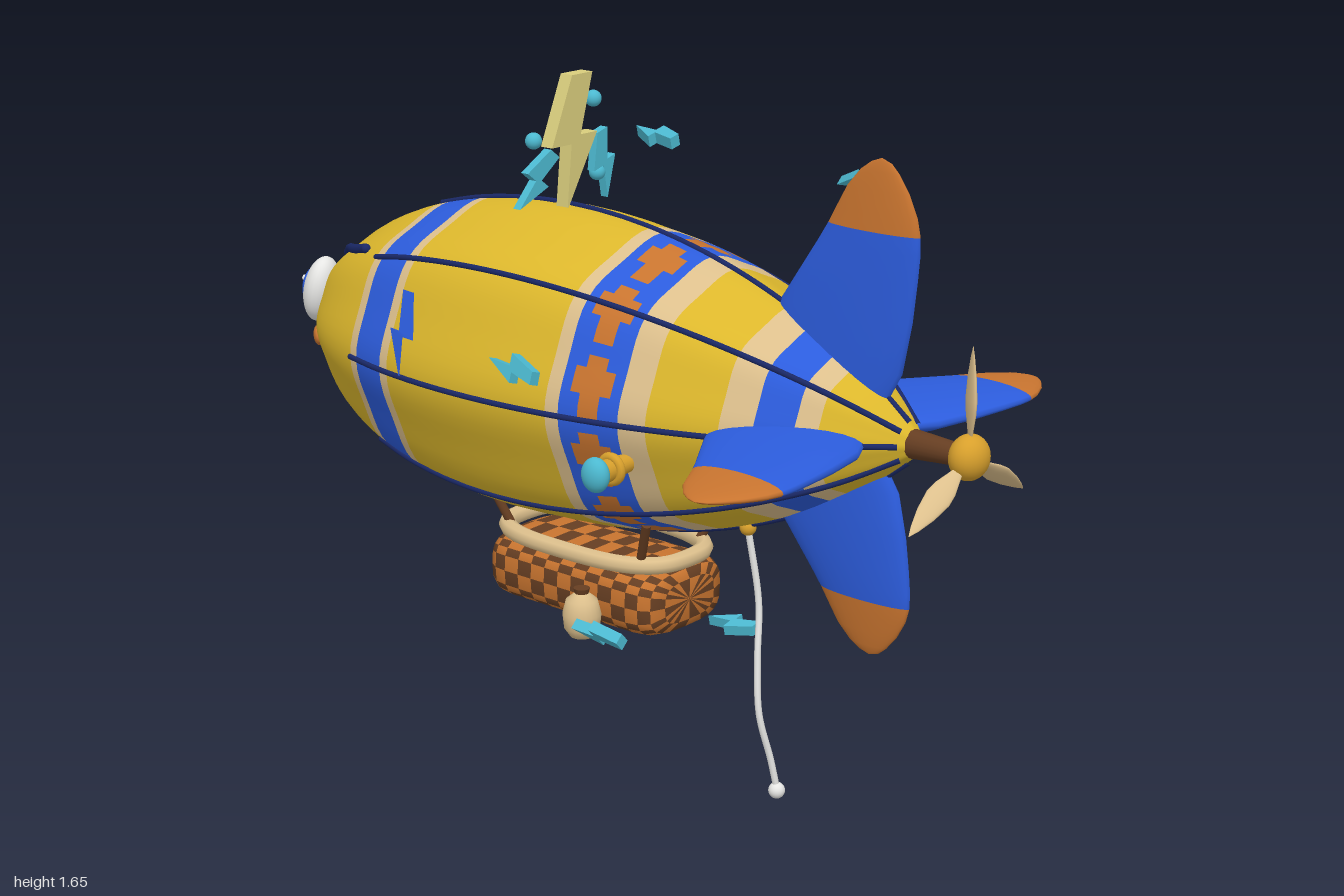
import * as THREE from 'three';

const mat = (name, hex, side = THREE.FrontSide) => {
  const m = new THREE.MeshStandardMaterial({ color: hex, side });
  m.name = name;
  return m;
};
const M = {
  yellow: mat('envelope yellow', 0xdcb72c), blue: mat('royal blue', 0x2c5cdc),
  tan: mat('tan', 0xdcbf8c), orange: mat('burnt orange', 0xc8742f),
  brown: mat('brown', 0x663e22), navy: mat('navy', 0x1a2866),
  white: mat('white', 0xe6e6e4), gold: mat('gold', 0xd8a02c),
  teal: mat('teal', 0x4cb9d0), pale: mat('pale yellow', 0xd8cc7c),
};
const V = (x, y, z) => new THREE.Vector3(x, y, z);
const YC = 0.96; // height of the envelope axis

function add(parent, name, geo, material, x = 0, y = 0, z = 0) {
  const m = new THREE.Mesh(geo, material);
  m.name = name;
  m.position.set(x, y, z);
  parent.add(m);
  return m;
}
const ball = (parent, name, material, p, sx, sy = sx, sz = sx) => {
  const m = add(parent, name, new THREE.SphereGeometry(1, 24, 16), material, p.x, p.y, p.z);
  m.scale.set(sx, sy, sz);
  return m;
};
const tube = (parent, name, material, pts, r, closed = false) => add(parent, name,
  new THREE.TubeGeometry(new THREE.CatmullRomCurve3(pts, closed), pts.length * 6, r, 8, closed), material);
const rod = (parent, name, material, a, b, ra, rb) => {
  const d = b.clone().sub(a);
  const m = add(parent, name, new THREE.CylinderGeometry(rb, ra, d.length(), 20), material);
  m.position.copy(a).addScaledVector(d, 0.5);
  m.quaternion.setFromUnitVectors(V(0, 1, 0), d.normalize());
  return m;
};

// Closed cross-sections joined in sequence, one material per cell
function loft(parent, name, rows, n, point, colour) {
  const pos = [], mats = [], lists = [], index = [];
  for (let i = 0; i < rows; i++) for (let j = 0; j < n; j++) pos.push(...point(i, (j / n) * Math.PI * 2));
  for (let i = 0; i < rows - 1; i++) for (let j = 0; j < n; j++) {
    const c = colour(i, j);
    if (!mats.includes(c)) { mats.push(c); lists.push([]); }
    const a = i * n + j, b = a + n, k = i * n + ((j + 1) % n);
    lists[mats.indexOf(c)].push(a, b, k, b, k + n, k);
  }
  const g = new THREE.BufferGeometry();
  g.setAttribute('position', new THREE.Float32BufferAttribute(pos, 3));
  lists.forEach((l, k) => { g.addGroup(index.length, l.length, k); index.push(...l); });
  g.setIndex(index);
  g.computeVertexNormals();
  return add(parent, name, g, mats);
}

// Envelope surface: elliptical nose, tapering tail, eight soft lobes
const lobe = (t) => 1 + 0.02 * (Math.cos(8 * t) - 1);
const radius = (z) => z < -0.2
  ? 0.385 * Math.sqrt(Math.max(0, 1 - ((z + 0.2) / 0.8) ** 2))
  : 0.385 * Math.max(0, 1 - ((z + 0.2) / 1.04) ** 2) ** 0.85;
const skin = (z, t, lift = 0) => {
  const r = radius(z) * lobe(t) + lift;
  return V(r * Math.sin(t), YC + r * Math.cos(t), z);
};
const noseZ = (x, y) => {
  const r = Math.hypot(x, y - YC) / lobe(Math.atan2(x, y - YC));
  return -0.2 - 0.8 * Math.sqrt(Math.max(0, 1 - (r / 0.385) ** 2));
};

const BOLT = [[-0.02, 0.5], [0.2, 0.5], [0.07, 0.05], [0.25, 0.05], [-0.08, -0.5], [-0.03, -0.01], [-0.24, -0.01]];
const boltShape = (h) => new THREE.Shape(BOLT.map(([x, y]) => new THREE.Vector2(x * h, y * h)));
const boltSolid = (h, depth) =>
  new THREE.ExtrudeGeometry(boltShape(h), { depth, bevelEnabled: false }).translate(0, 0, -depth / 2);

function envelope(g) {
  const zs = [];
  for (let i = 0; i <= 12; i++) zs.push(-0.2 - 0.8 * Math.cos((i / 12) * Math.acos(0.43 / 0.8)));
  zs.push(-0.6, -0.55, -0.495, -0.465, -0.38, -0.29, -0.2, -0.11, -0.03, 0.05);
  for (let k = 0; k <= 6; k++) zs.push(0.085 + 0.025 * k);
  zs.push(0.3, 0.35, 0.41, 0.46, 0.53, 0.57, 0.61, 0.655, 0.7, 0.74, 0.78, 0.81, 0.83, 0.84);
  const within = (z, a, b) => z > a && z < b;
  loft(g, 'envelope', zs.length, 72, (i, t) => skin(zs[i], t).toArray(), (i, j) => {
    const z = (zs[i] + zs[i + 1]) / 2;
    if (within(z, 0.085, 0.235)) { // stepped cross pattern
      const k = Math.floor((z - 0.085) / 0.025), c = j % 6;
      const hit = k === 2 || k === 3 ? c < 5 : (k === 1 || k === 4) && (c === 2 || c === 3);
      return hit ? M.orange : M.blue;
    }
    if (within(z, -0.6, -0.495) || within(z, 0.53, 0.61)) return M.blue;
    if (within(z, -0.63, -0.465) || within(z, 0.05, 0.3) || within(z, 0.46, 0.655)) return M.tan;
    return M.yellow;
  });
  for (let k = 0; k < 8; k++) {
    const pts = Array.from({ length: 13 }, (_, i) => skin(-0.63 + i * 0.119, (k * Math.PI) / 4, 0.001));
    tube(g, 'seam', M.navy, pts, 0.007);
  }
  // Side bolts laid on the skin
  const decal = new THREE.ShapeGeometry(boltShape(0.195));
  const p = decal.attributes.position;
  for (let i = 0; i < p.count; i++) {
    const yo = 0.095 + p.getY(i), z = -0.42 - p.getX(i);
    const r = radius(z) * lobe(Math.acos(yo / radius(z)));
    p.setXYZ(i, Math.sqrt(r * r - yo * yo) + 0.008, YC + yo, z);
  }
  decal.computeVertexNormals();
  for (const s of [1, -1]) add(g, 'sideBolt', decal, M.blue).scale.x = s;
}

function fins(g) {
  // span, leading z, trailing z, half thickness
  const S = [[0.05, 0.4, 0.72, 0.036], [0.15, 0.4, 0.775, 0.036], [0.27, 0.44, 0.798, 0.033], [0.36, 0.5, 0.808, 0.029],
    [0.42, 0.54, 0.813, 0.026], [0.46, 0.565, 0.812, 0.023], [0.5, 0.587, 0.803, 0.02], [0.55, 0.615, 0.78, 0.015],
    [0.59, 0.65, 0.752, 0.01], [0.61, 0.678, 0.732, 0.005], [0.62, 0.705, 0.705, 0]];
  for (let k = 0; k < 4; k++) {
    const f = loft(g, 'tailFin', S.length, 24, (i, t) => {
      const [r, a, b, w] = S[i];
      return [-w * Math.sin(t), r, (a + b) / 2 + ((b - a) / 2) * Math.cos(t)];
    }, (i) => (S[i][0] >= 0.46 ? M.orange : M.blue));
    f.position.y = YC;
    f.rotation.z = (k * Math.PI) / 2;
    if (k === 2) f.scale.y = 0.84; // lower fin is shorter
  }
}

function propeller(g) {
  rod(g, 'propellerShaft', M.brown, V(0, YC, 0.77), V(0, YC, 0.93), 0.036, 0.025);
  ball(g, 'propellerHub', M.gold, V(0, YC, 0.957), 0.052, 0.052, 0.043);
  const profile = [[0, 0.03], [0.012, 0.05], [0.026, 0.1], [0.029, 0.13], [0.022, 0.18], [0.01, 0.225], [0, 0.25]];
  for (let k = 0; k < 3; k++) {
    const arm = new THREE.Group();
    arm.name = 'propellerBlade';
    arm.position.set(0, YC, 0.957);
    arm.rotation.z = (k * Math.PI * 2) / 3;
    const blade = add(arm, 'blade', new THREE.LatheGeometry(profile.map(([x, y]) => new THREE.Vector2(x, y)), 20), M.tan);
    blade.scale.z = 0.3;
    blade.rotation.y = 0.95;
    g.add(arm);
  }
}

function face(g) {
  for (const s of [1, -1]) {
    const eye = new THREE.Group();
    eye.name = 'eye';
    eye.position.set(s * 0.13, 1.04, -0.937);
    eye.lookAt(s * 0.13 + s * 0.4, 1.04 + 0.18, -0.937 - 0.9);
    ball(eye, 'eyeball', M.white, V(0, 0, 0), 0.061, 0.085, 0.043);
    ball(eye, 'iris', M.blue, V(0, 0.005, 0.035), 0.032, 0.04, 0.013);
    ball(eye, 'pupil', M.navy, V(0, 0.005, 0.041), 0.018, 0.024, 0.011);
    ball(eye, 'glint', M.white, V(0.01, 0.02, 0.046), 0.008, 0.008, 0.006);
    g.add(eye);
    const brow = [[-0.7, 0.7], [-0.77, 0.66], [-0.84, 0.53], [-0.91, 0.34]];
    const pts = brow.map(([z, t]) => skin(z, s * t, 0.006));
    tube(g, 'eyebrow', M.navy, pts, 0.012);
    for (const end of [pts[0], pts[3]]) ball(g, 'eyebrowEnd', M.navy, end, 0.012);
    const cheek = ball(g, 'cheek', M.orange, V(s * 0.168, 0.93, noseZ(0.168, 0.93)), 0.032, 0.025, 0.012);
    cheek.lookAt(s * 1.168, 0.8, -1.9);
  }
  // Smile patches moved onto the nose
  const patch = (name, material, w, top, depth, lift) => {
    const geo = new THREE.PlaneGeometry(2, 1, 20, 4), p = geo.attributes.position;
    for (let i = 0; i < p.count; i++) {
      const u = p.getX(i), x = -u * w;
      const y = top + 3.5 * x * x - (0.5 - p.getY(i)) * depth * (1 - u * u);
      p.setXYZ(i, x, y, noseZ(x, y) - lift);
    }
    geo.computeVertexNormals();
    add(g, name, geo, material);
  };
  patch('mouthOutline', M.navy, 0.108, 0.885, 0.075, 0.003);
  patch('mouth', M.brown, 0.092, 0.877, 0.055, 0.006);
  patch('teeth', M.white, 0.075, 0.877, 0.016, 0.008);
}

function gondola(g) {
  const S = [[-0.365, 0], [-0.365, 0.6], [-0.352, 0.86], [-0.325, 0.97]];
  for (let i = 0; i <= 9; i++) S.push([-0.29 + i * 0.0433, 1]);
  S.push([0.135, 0.97], [0.162, 0.86], [0.175, 0.6], [0.175, 0]);
  const pw = (v, e) => Math.sign(v) * Math.abs(v) ** e;
  loft(g, 'wovenBasket', S.length, 24, (i, t) =>
    [0.15 * S[i][1] * pw(Math.sin(t), 0.6), 0.442 + 0.085 * S[i][1] * pw(Math.cos(t), 0.6), S[i][0]],
  (i, j) => ((i + j) % 2 ? M.brown : M.orange));
  const rim = Array.from({ length: 24 }, (_, i) => {
    const t = (i / 24) * Math.PI * 2;
    return V(0.15 * pw(Math.sin(t), 0.7), 0.542, -0.095 + 0.262 * pw(Math.cos(t), 0.7));
  });
  tube(g, 'basketRim', M.tan, rim, 0.022, true);
  const bag = [[0, 0], [0.028, 0.003], [0.043, 0.025], [0.047, 0.06], [0.038, 0.095], [0.016, 0.112], [0, 0.114]];
  for (const s of [1, -1]) {
    for (const [z0, z1] of [[0.11, 0.16], [-0.3, -0.35]])
      rod(g, 'strut', M.brown, V(s * 0.105, 0.54, z0), V(s * 0.14, 0.66, z1), 0.011, 0.011);
    add(g, 'sandbag', new THREE.LatheGeometry(bag.map(([x, y]) => new THREE.Vector2(x, y)), 20), M.tan, s * 0.178, 0.35, -0.01);
    add(g, 'sandbagTie', new THREE.CylinderGeometry(0.02, 0.016, 0.016, 14), M.brown, s * 0.178, 0.466, -0.01);
  }
  // Spyglass
  rod(g, 'spyglass', M.gold, V(0.125, 0.55, -0.33), V(0.14, 0.592, -0.53), 0.013, 0.016);
  rod(g, 'spyglassEnd', M.gold, V(0.14, 0.592, -0.52), V(0.143, 0.6, -0.565), 0.02, 0.022);
  ball(g, 'spyglassLens', M.teal, V(0.143, 0.6, -0.566), 0.018, 0.018, 0.008);
}

function fittings(g) {
  // Side lamp
  rod(g, 'lampStem', M.gold, V(-0.3, 0.868, 0.24), V(-0.385, 0.865, 0.24), 0.022, 0.027);
  const ring = add(g, 'lampRing', new THREE.TorusGeometry(0.028, 0.011, 10, 24), M.gold, -0.352, 0.866, 0.24);
  ring.rotation.y = Math.PI / 2;
  ball(g, 'lampGlass', M.teal, V(-0.405, 0.865, 0.24), 0.027, 0.041, 0.036);
  // Trailing rope
  const rope = [[0, 0.66, 0.35], [0.012, 0.48, 0.375], [-0.012, 0.35, 0.393], [-0.025, 0.22, 0.41], [0, 0.1, 0.427], [0.012, 0.025, 0.437]];
  tube(g, 'rope', M.white, rope.map((p) => V(...p)), 0.008);
  ball(g, 'ropeWeight', M.white, V(0.012, 0.02, 0.437), 0.02);
  ball(g, 'ropeClasp', M.gold, V(0, 0.662, 0.35), 0.02);
}

function sparks(g) {
  add(g, 'largeBolt', boltSolid(0.32, 0.036), M.pale, 0, 1.495, -0.205);
  add(g, 'smallBolt', boltSolid(0.165, 0.022), M.teal, -0.12, 1.42, -0.205).rotation.z = -0.65;
  add(g, 'smallBolt', boltSolid(0.165, 0.022), M.teal, 0.115, 1.425, -0.205).rotation.z = 0.28;
  for (const p of [[-0.105, 1.51, -0.22], [0.07, 1.59, -0.19], [0.105, 1.405, -0.21]])
    ball(g, 'spark', M.teal, V(...p), 0.02);
  // Ring of bolts around the tail half
  for (let k = 0; k < 6; k++) {
    const a = ((43 + 60 * k) * Math.PI) / 180, c = Math.cos(a), s = Math.sin(a);
    const b = add(g, 'ringBolt', boltSolid(0.13, 0.026), M.teal, 0.638 * c, YC + 0.638 * s, k % 3 ? 0.19 : 0.3);
    b.quaternion.setFromRotationMatrix(new THREE.Matrix4().makeBasis(V(-s, c, 0), V(0, 0, 1), V(c, s, 0)));
  }
}

export function createModel() {
  const model = new THREE.Group();
  model.name = 'airship';
  for (const build of [envelope, fins, propeller, face, gondola, fittings, sparks]) {
    const part = new THREE.Group();
    part.name = build.name;
    build(part);
    model.add(part);
  }
  return model;
}
